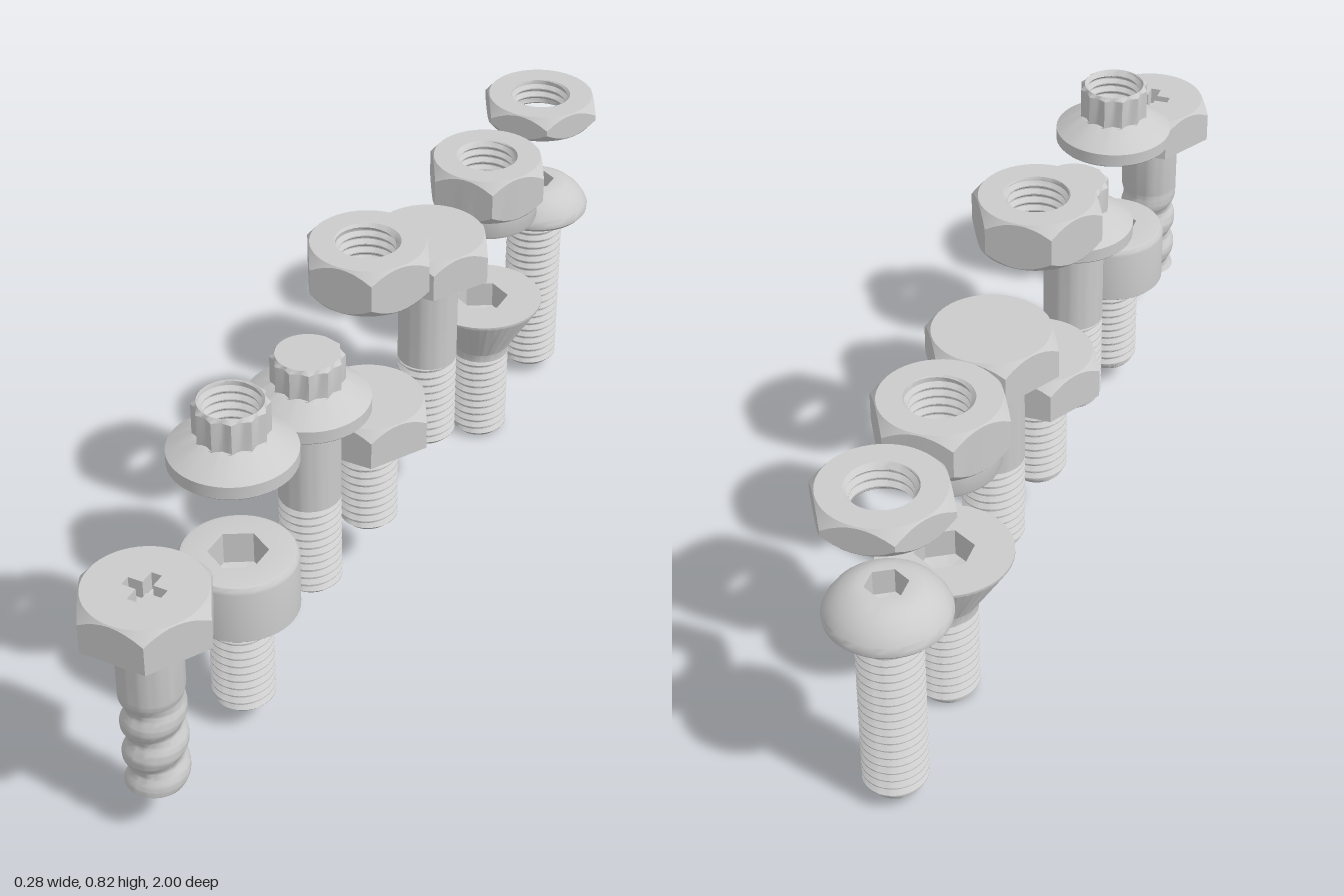
import * as THREE from 'three';
import { toCreasedNormals } from 'three/addons/utils/BufferGeometryUtils.js';

const SEG = 48, TAU = Math.PI * 2, PITCH = 0.0195;
const SHANK = 0.065, ROOT = 0.056, FLAT = 0.12;
const material = new THREE.MeshStandardMaterial({ color: 0xcccccc, roughness: 0.6, metalness: 0.1 });

// Radius rules: regular hexagon, twelve-point star and cross, as functions of angle
const hex = (apothem, turn = 0) => a => {
  const s = Math.PI / 3, t = (((a + turn + s / 2) % s) + s) % s - s / 2;
  return apothem / Math.cos(t);
};
const star = apothem => a => Math.max(hex(apothem)(a), hex(apothem, Math.PI / 6)(a));
const cross = (length, halfWidth) => a => {
  const c = Math.abs(Math.cos(a)), s = Math.abs(Math.sin(a));
  const big = Math.max(c, s), small = Math.max(Math.min(c, s), 1e-6);
  return Math.min(length / big, halfWidth / small);
};
const socket = apothem => hex(apothem, Math.PI / 6);

// Skin through rings [radius, height], listed from the bottom up the outside; each may be a rule
function loft(name, rings) {
  const pos = [], index = [], n = SEG + 1;
  for (const [r, y] of rings) {
    for (let i = 0; i <= SEG; i++) {
      const a = (i / SEG) * TAU;
      const h = typeof y === 'function' ? y(a) : y;
      const q = typeof r === 'function' ? r(a, h) : r;
      pos.push(q * Math.sin(a), h, q * Math.cos(a));
    }
  }
  for (let j = 0; j < rings.length - 1; j++) {
    for (let i = 0; i < SEG; i++) {
      const a = j * n + i, c = a + n;
      index.push(a, a + 1, c + 1, a, c + 1, c);
    }
  }
  const g = new THREE.BufferGeometry();
  g.setAttribute('position', new THREE.Float32BufferAttribute(pos, 3));
  g.setIndex(index);
  const mesh = new THREE.Mesh(toCreasedNormals(g, 0.55), material);
  mesh.name = name;
  return mesh;
}

// Helical rows between y0 and y1; radius(h, y) turns thread height 0..1 into a radius
function helix(y0, y1, radius) {
  const rows = [], wave = [[0, 0], [0.12, 0], [0.5, 1], [0.62, 1]];
  for (let k = -1; k <= Math.ceil((y1 - y0) / PITCH); k++) {
    for (const [t, h] of wave) {
      rows.push([
        (a, y) => radius(y <= y0 || y >= y1 ? 0 : h, y),
        a => THREE.MathUtils.clamp(y0 + (k + t + a / TAU) * PITCH, y0, y1),
      ]);
    }
  }
  return rows;
}

// Outer thread with a chamfered end
function boltThread(y0, y1) {
  const radius = (h, y) => Math.min(ROOT + h * (SHANK - ROOT), 0.05 + (y - y0));
  return loft('thread', [[0, y0], ...helix(y0, y1, radius)]);
}

// Inner thread with chamfered mouths, facing inward
function nutThread(y0, y1, outer) {
  const radius = (h, y) => Math.max(outer - h * 0.008, outer + 0.002 - Math.min(y - y0, y1 - y));
  return loft('innerThread', helix(y0, y1, radius).reverse());
}

const shank = (y0, y1) => loft('shank', [[0, y0], [SHANK, y0], [SHANK, y1], [0, y1]]);

// Hexagon side whose corners are cut by a cone above and, if asked, below
function hexSides(y0, y1, bothEnds) {
  const side = hex(FLAT), drop = a => 1.2 * (side(a) - FLAT + 0.002);
  const bottom = bothEnds ? [[FLAT - 0.002, y0], [side, a => y0 + drop(a)]] : [[side, y0]];
  return [...bottom, [side, a => y1 - drop(a)], [FLAT - 0.002, y1]];
}

const hexHead = (y0, y1) => loft('hexHead', [[0, y0], ...hexSides(y0, y1, false), [0, y1]]);

function hexNut(y0, y1) {
  return [
    loft('nutBody', [[0.068, y0], ...hexSides(y0, y1, true), [0.068, y1]]),
    nutThread(y0, y1, 0.066),
  ];
}

// Flange with a twelve-point drive above it
const flangeAndDrive = (y0, y1) => [
  [0.123, y0], [0.127, y0 + 0.004], [0.127, y0 + 0.031], [0.075, y0 + 0.066],
  [star(0.065), y0 + 0.068], [star(0.065), y1 - 0.007], [0.065, y1],
];

// Coarse tapered-point thread of the wood screw
function lagThread() {
  const rings = [[0, 0.06]];
  const top = 0.35, bottom = 0.11, rows = 48;
  for (let j = 0; j <= rows; j++) {
    const y = bottom + ((top - bottom) * j) / rows;
    const fade = Math.min(1, (top - y) / 0.06);
    rings.push([a => {
      const t = 0.5 + 0.5 * Math.cos(TAU * (y / 0.076) - a);
      return SHANK - 0.012 * fade * t ** 1.5;
    }, y]);
  }
  rings.push([SHANK, 0.49]);
  return loft('coarseThread', rings);
}

export function createModel() {
  const model = new THREE.Group();
  const add = (name, z, ...parts) => {
    const g = new THREE.Group();
    g.name = name;
    g.position.z = z;
    g.add(...parts);
    model.add(g);
  };

  // Lag screw with cross recess
  const plus = cross(0.042, 0.0113);
  add('lagScrew', 0.88,
    loft('hexHead', [[0, 0.485], ...hexSides(0.485, 0.574, false), [plus, 0.574], [plus, 0.535], [0, 0.53]]),
    lagThread());

  // Socket cap screw
  add('socketCapScrew', 0.55,
    loft('capHead', [[0, 0.289], [0.118, 0.289], [0.12, 0.291], [0.12, 0.406], [0.1185, 0.413], [0.114, 0.419],
      [0.107, 0.421], [socket(0.052), 0.421], [socket(0.052), 0.35], [0, 0.335]]),
    loft('neck', [[0, 0.255], [SHANK, 0.255], [SHANK, 0.272], [0.073, 0.289]]),
    boltThread(0.048, 0.256));

  // Twelve-point flange nut
  add('twelvePointNut', 0.555,
    loft('nutBody', [[0.064, 0.643], ...flangeAndDrive(0.643, 0.782), [0.064, 0.782]]),
    nutThread(0.643, 0.782, 0.062));

  // Twelve-point flange bolt
  add('twelvePointBolt', 0.258,
    loft('flangeHead', [[0, 0.575], ...flangeAndDrive(0.575, 0.708), [0, 0.708]]),
    shank(0.362, 0.58),
    boltThread(0.139, 0.363));

  // Short hex bolt and the nut above it
  add('shortHexBolt', -0.002, hexHead(0.352, 0.44), shank(0.335, 0.355), boltThread(0.123, 0.336));
  add('hexNut', -0.002, ...hexNut(0.717, 0.823));

  // Long hex bolt
  add('longHexBolt', -0.29, hexHead(0.601, 0.686), shank(0.375, 0.605), boltThread(0.164, 0.376));

  // Countersunk socket screw
  add('countersunkScrew', -0.581,
    loft('conicalHead', [[0, 0.218], [SHANK, 0.218], [SHANK, 0.236], [0.137, 0.354], [0.137, 0.36],
      [socket(0.052), 0.36], [socket(0.052), 0.3], [0, 0.285]]),
    boltThread(0, 0.219));

  // Lock nut with its round collar below
  add('lockNut', -0.583,
    loft('nutBody', [[0.066, 0.597], [0.086, 0.597], [0.086, 0.582], [0.091, 0.576], [0.106, 0.576],
      [0.112, 0.579], [0.115, 0.586], [0.115, 0.622], ...hexSides(0.622, 0.728, true), [0.068, 0.728]]),
    nutThread(0.597, 0.728, 0.066));

  // Button head screw
  add('buttonHeadScrew', -0.877,
    loft('domedHead', [[0, 0.438], [0.102, 0.438], [0.114, 0.442], [0.121, 0.45], [0.122, 0.46], [0.118, 0.47],
      [0.105, 0.489], [0.088, 0.504], [0.07, 0.514], [0.054, 0.519], [socket(0.036), 0.519],
      [socket(0.036), 0.465], [0, 0.455]]),
    shank(0.42, 0.442),
    boltThread(0.023, 0.421));

  // Thin nut above it
  add('thinNut', -0.877, ...hexNut(0.683, 0.744));

  return model;
}
